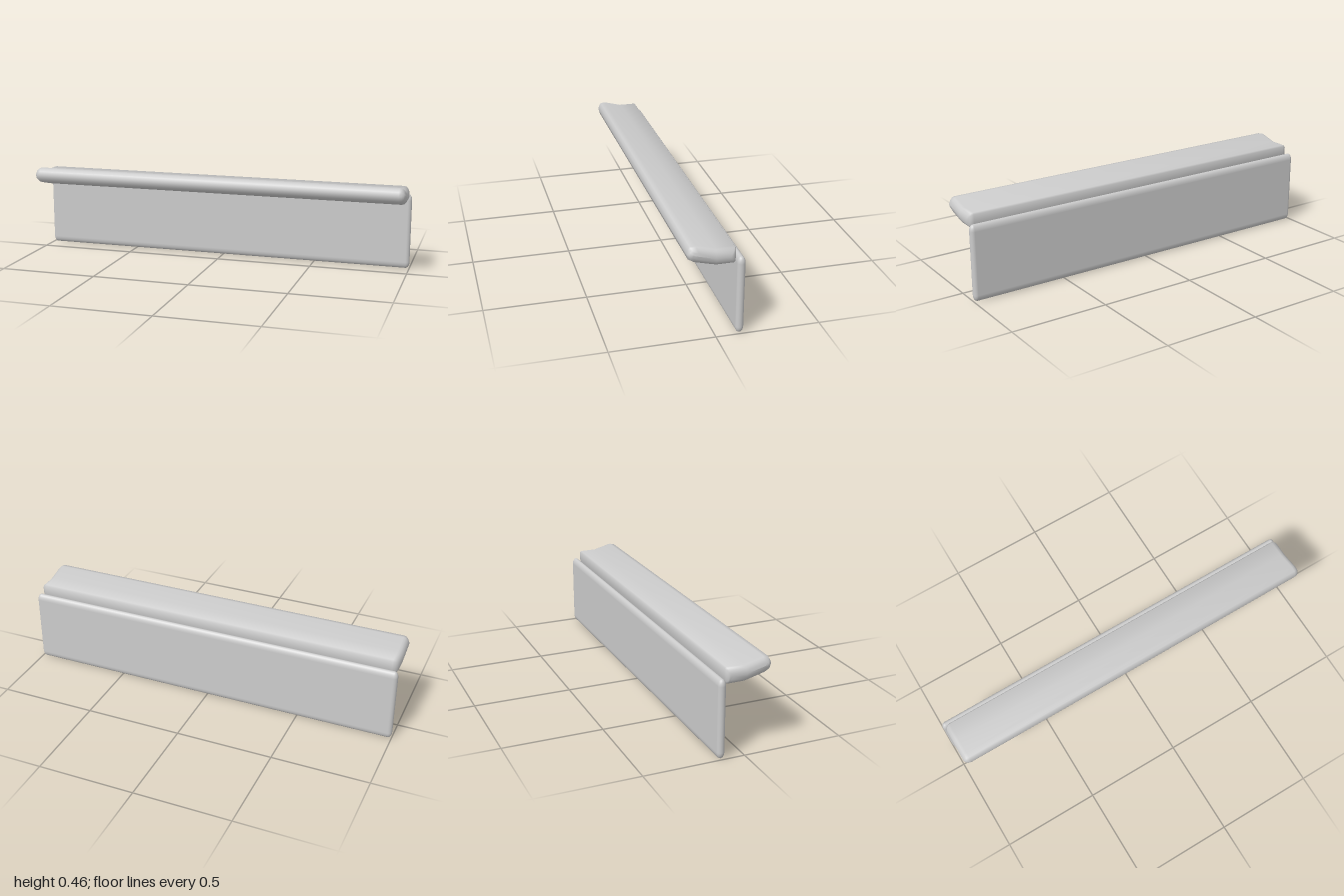
import * as THREE from 'three';
import { toCreasedNormals } from 'three/addons/utils/BufferGeometryUtils.js';
import { RoundedBoxGeometry } from 'three/addons/geometries/RoundedBoxGeometry.js';

const grey = new THREE.MeshStandardMaterial({ color: 0xcccccc });

// Bent ledge: a [z, y] profile swept along x, closing onto its midline at rounded ends
function ledgeGeometry() {
  const profile = [
    [-0.093, 0.428], [-0.087, 0.436], [0, 0.436], [0.095, 0.461], [0.119, 0.457], [0.128, 0.444],
    [0.135, 0.424], [0.128, 0.397], [0.103, 0.382], [0, 0.356], [-0.087, 0.356], [-0.093, 0.366],
  ];
  const midline = (z) => 0.396 + 0.26 * Math.max(0, z);
  const half = 0.992, round = 0.03, steps = 4, centre = 0.021;
  const sections = [];
  for (let i = 0; i <= steps; i++) {
    const a = (i / steps) * Math.PI / 2;
    sections.push([-half + round * (1 - Math.cos(a)), Math.sin(a)]);
  }
  for (let i = steps; i >= 0; i--) sections.push([-sections[i][0], sections[i][1]]);

  const positions = [], index = [], n = profile.length;
  sections.forEach(([x, s], i) => {
    profile.forEach(([z, y], j) => {
      const zs = centre + (z - centre) * (1 - 0.24 * (1 - s));
      positions.push(x, midline(zs) + (y - midline(z)) * s, zs);
      if (i === sections.length - 1) return;
      const a = i * n + j, b = i * n + (j + 1) % n;
      index.push(a, b, a + n, b, b + n, a + n);
    });
  });
  const geometry = new THREE.BufferGeometry();
  geometry.setAttribute('position', new THREE.Float32BufferAttribute(positions, 3));
  geometry.setIndex(index);
  return toCreasedNormals(geometry, 1.1);
}

export function createModel() {
  const model = new THREE.Group();

  // Upright back panel, its edges rounded more deeply in height than in thickness
  const stretch = 1.7;
  const panelGeometry = new RoundedBoxGeometry(2, 0.39 / stretch, 0.039, 3, 0.0194);
  panelGeometry.scale(1, stretch, 1);
  const panel = new THREE.Mesh(panelGeometry, grey);
  panel.name = 'backPanel';
  panel.position.set(0, 0.195, -0.115);

  // Ledge in front of the panel's top edge
  const ledge = new THREE.Mesh(ledgeGeometry(), grey);
  ledge.name = 'ledge';

  model.add(panel, ledge);
  return model;
}
